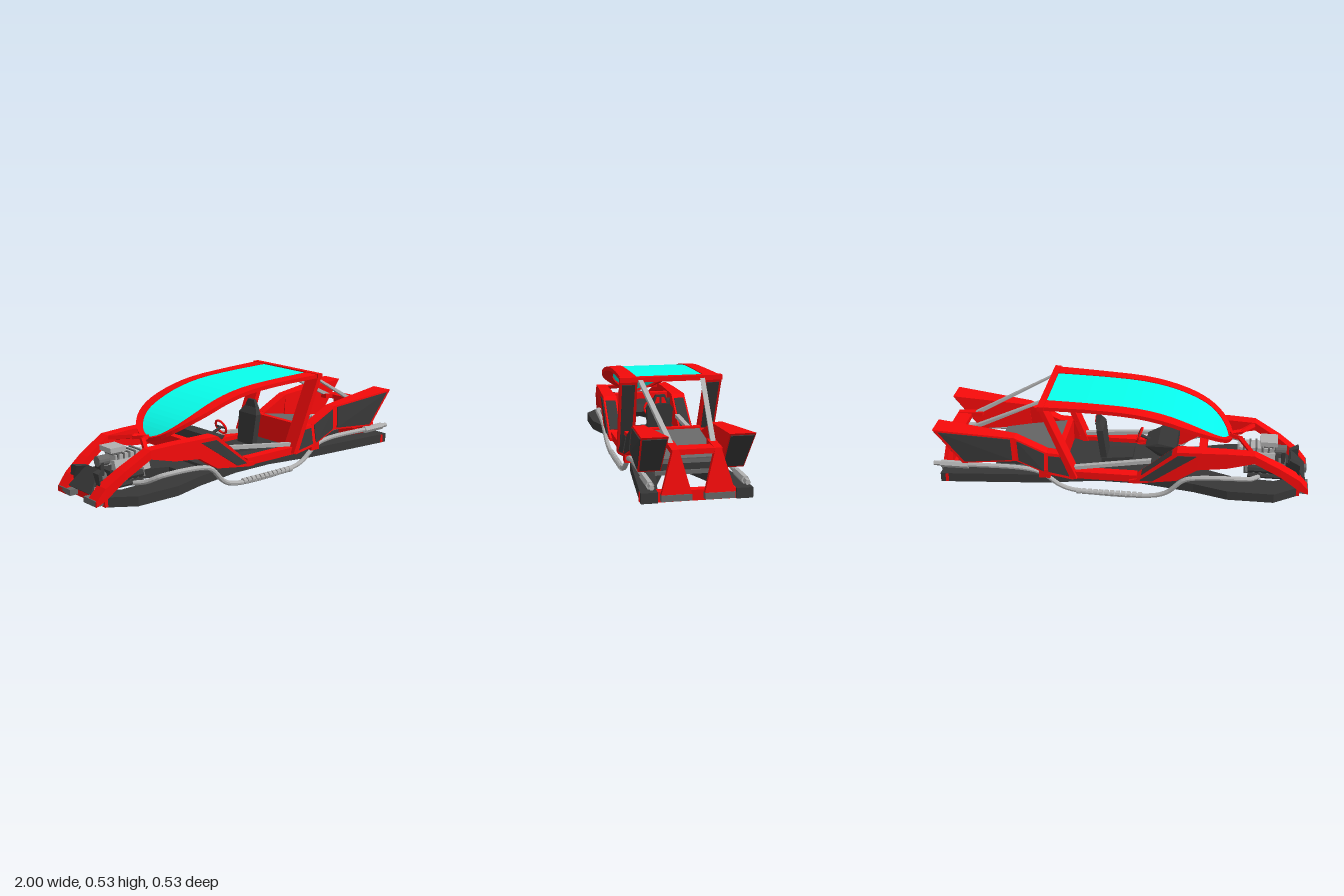
import * as THREE from 'three';
import { ConvexGeometry } from 'three/addons/geometries/ConvexGeometry.js';

const mat = (color) => new THREE.MeshStandardMaterial({ color, flatShading: true });
const RED = mat(0xf50a0a), DARK = mat(0x383838), STEEL = mat(0xb0b0b0), GREY = mat(0x686868), GLASS = mat(0x08ffec);
const V = (p) => new THREE.Vector3(...p);

export function createModel() {
  const car = new THREE.Group();
  car.name = 'hotRod';
  const add = (name, geo, m) => {
    const mesh = new THREE.Mesh(geo, m);
    mesh.name = name;
    car.add(mesh);
    return mesh;
  };
  const both = (fn) => [1, -1].forEach(fn);
  const hull = (name, pts, m) => add(name, new ConvexGeometry(pts.map(V)), m);
  const box = (name, x0, x1, y0, y1, z0, z1, m) => {
    const g = new THREE.BoxGeometry(x1 - x0, y1 - y0, Math.abs(z1 - z0));
    return add(name, g.translate((x0 + x1) / 2, (y0 + y1) / 2, (z0 + z1) / 2), m);
  };
  // straight round bar between two points
  const rod = (name, a, b, r, m, sides = 6) => {
    const p = V(a), q = V(b), d = q.clone().sub(p);
    const mesh = add(name, new THREE.CylinderGeometry(r, r, d.length(), sides), m);
    mesh.position.copy(p).add(q).multiplyScalar(0.5);
    mesh.quaternion.setFromUnitVectors(new THREE.Vector3(0, 1, 0), d.normalize());
    return mesh;
  };
  // thin plate inset in a face given by its corners
  const inset = (name, corners, k, m, t = 0.004) => {
    const p = corners.map(V), c = new THREE.Vector3();
    p.forEach((v) => c.addScaledVector(v, 1 / p.length));
    const n = p[1].clone().sub(p[0]).cross(p[2].clone().sub(p[0])).setLength(t);
    const pts = p.flatMap((v) => {
      const w = v.clone().sub(c).multiplyScalar(k).add(c);
      return [w.clone().add(n), w.clone().sub(n)];
    });
    return add(name, new ConvexGeometry(pts), m);
  };
  // skin through four-cornered sections: top inner, top outer, bottom outer, bottom inner
  const loft = (name, sections, s, m) => {
    const rings = sections.map((r) => (s > 0 ? r : r.map(([x, y, z]) => [x, y, -z]).reverse()));
    const pos = [], tri = (...p) => p.forEach((v) => pos.push(...v));
    for (let i = 0; i < rings.length - 1; i++) {
      for (let j = 0; j < 4; j++) {
        const k = (j + 1) % 4, a = rings[i], b = rings[i + 1];
        tri(a[j], a[k], b[j]);
        tri(a[k], b[k], b[j]);
      }
    }
    const f = rings[0], l = rings[rings.length - 1];
    tri(f[0], f[2], f[1]); tri(f[0], f[3], f[2]);
    tri(l[0], l[1], l[2]); tri(l[0], l[2], l[3]);
    const g = new THREE.BufferGeometry();
    g.setAttribute('position', new THREE.Float32BufferAttribute(pos, 3));
    g.computeVertexNormals();
    return add(name, g, m);
  };

  // X-shaped chassis: forked at nose and tail, narrow at the waist
  const half = [[-0.95, 0.05], [-0.95, 0.17], [-0.82, 0.258], [-0.58, 0.258], [-0.4, 0.205], [-0.12, 0.155],
    [0.12, 0.155], [0.4, 0.21], [0.65, 0.235], [0.93, 0.262], [0.93, 0.18], [0.7, 0.14], [0.42, 0.04]];
  const front = [[-0.42, 0.03], [-0.62, 0.11], [-0.82, 0.12]];
  const outline = [...front, ...half];
  const plan = [...outline, ...outline.map(([x, z]) => [x, -z]).reverse()];
  const pan = new THREE.ExtrudeGeometry(new THREE.Shape(plan.map((p) => new THREE.Vector2(...p))), { depth: 0.05, bevelEnabled: false });
  add('chassis', pan.rotateX(Math.PI / 2).translate(0, 0.1, 0), DARK);
  box('rearCrossbar', 0.9, 0.945, 0.05, 0.1, -0.183, 0.183, RED);
  box('frontCrossbar', -0.955, -0.92, 0.052, 0.1, -0.168, 0.168, RED);
  box('cabinFloor', -0.3, 0.4, 0.1, 0.115, -0.18, 0.18, DARK);

  both((s) => {
    box('chassisEnd', 0.93, 0.955, 0.05, 0.1, s * 0.183, s * 0.262, DARK);
    box('rearFoot', 0.94, 0.975, 0.06, 0.09, s * 0.03, s * 0.172, GREY);
    box('noseFoot', -1, -0.95, 0.06, 0.09, s * 0.06, s * 0.165, GREY);
    box('frontOutrigger', -0.955, -0.91, 0.052, 0.098, s * 0.15, s * 0.178, RED);
    box('rearOutrigger', 0.912, 0.928, 0.052, 0.098, s * 0.2, s * 0.264, RED);

    // fender: x, top, bottom, inner z, outer z
    const fender = [[-1, 0.085, 0.06, 0.1, 0.172], [-0.95, 0.145, 0.085, 0.105, 0.18], [-0.85, 0.215, 0.17, 0.13, 0.2],
      [-0.71, 0.295, 0.25, 0.155, 0.215], [-0.57, 0.3, 0.215, 0.16, 0.222], [-0.42, 0.3, 0.2, 0.16, 0.23],
      [-0.31, 0.3, 0.13, 0.16, 0.235], [-0.1, 0.125, 0.1, 0.16, 0.238], [-0.06, 0.115, 0.1, 0.16, 0.238]];
    loft('fender', fender.map(([x, t, b, i, o]) => [[x, t, i], [x, t, o], [x, b, o], [x, b, i]]), s, RED);
    inset('fenderPanel', [[-0.42, 0.285, s * 0.231], [-0.32, 0.285, s * 0.235], [-0.11, 0.118, s * 0.24], [-0.18, 0.118, s * 0.24]], 0.95, DARK);
    inset('fenderSlopePanel', [[-0.31, 0.3, s * 0.16], [-0.1, 0.125, s * 0.16], [-0.1, 0.125, s * 0.238], [-0.31, 0.3, s * 0.235]], 0.75, DARK, 0.003);
    loft('noseStrut', [[-0.95, 0.12], [-0.9, 0.07]].map(([x, z]) => [[x, 0.2, z * 0.6], [x, 0.2, z], [x, 0.1, z + 0.02], [x, 0.1, z]]), s, DARK);
    rod('hoodBrace', [-0.58, 0.3, s * 0.01], [-0.64, 0.3, s * 0.04], 0.014, RED, 4);
    rod('hoodBrace', [-0.63, 0.3, s * 0.035], [-0.7, 0.28, s * 0.16], 0.014, RED, 4);
    box('doorSill', -0.1, 0.27, 0.1, 0.14, s * 0.17, s * 0.225, RED);
    // flat diagonal door bar
    hull('doorBar', [[-0.17, 0.21], [-0.17, 0.19], [0.28, 0.155], [0.28, 0.135]]
      .flatMap(([x, y], i) => [[x, y, s * (i < 2 ? 0.15 : 0.185)], [x, y, s * (i < 2 ? 0.175 : 0.21)]]), STEEL);

    // roof pillar with dark rear panel
    const pillar = (zLow, zTop) => [[0.215, 0.11, zLow], [0.25, 0.11, zLow], [0.41, 0.525, zTop], [0.385, 0.525, zTop]].map(([x, y, z]) => [x, y, s * z]);
    hull('roofPillar', [...pillar(0.16, 0.172), ...pillar(0.248, 0.26)], RED);
    inset('pillarPanel', [[0.27, 0.16, s * 0.18], [0.27, 0.16, s * 0.24], [0.398, 0.495, s * 0.248], [0.398, 0.495, s * 0.182]], 0.98, DARK);

    // rear wing: short front box and long flared box, each with a dark side panel
    const side = (pts, m) => pts.map(([x, y, z]) => [x, y, s * z * m]);
    const stub = [[0.28, 0.235, 0.22], [0.385, 0.24, 0.22], [0.385, 0.125, 0.24], [0.235, 0.102, 0.245]];
    hull('wingStub', [...side(stub, 1), ...side(stub, 0.74)], RED);
    inset('wingStubPanel', side(stub, 1.003), 0.75, DARK);
    const fore = [[0.38, 0.24, 0.22], [0.55, 0.32, 0.225], [0.54, 0.188, 0.235], [0.38, 0.125, 0.24]];
    const aft = [[0.55, 0.32, 0.225], [0.978, 0.36, 0.264], [0.83, 0.165, 0.252], [0.54, 0.188, 0.235]];
    const inner = [[0.55, 0.32, 0.167], [0.978, 0.36, 0.14], [0.83, 0.165, 0.145], [0.54, 0.188, 0.165]];
    hull('wingFore', [...side(fore, 1), ...side(fore, 0.74)], RED);
    hull('wingAft', [...side(aft, 1), ...side(inner, 1)], RED);
    inset('wingForePanel', side(fore, 1.004), 0.84, DARK);
    inset('wingAftPanel', side(aft, 1.004), 0.88, DARK);
    inset('wingTailPanel', side([aft[1], aft[2], inner[2], inner[1]], 1), 0.9, DARK);
    box('wingFoot', 0.36, 0.42, 0.1, 0.15, s * 0.165, s * 0.24, RED);

    // tapered tail post and roof strut
    hull('tailPost', [[0.95, 0.09, 0.03], [0.95, 0.09, 0.172], [0.97, 0.09, 0.03], [0.97, 0.09, 0.172], [0.92, 0.09, 0.05],
      [0.92, 0.09, 0.15], [0.91, 0.29, 0.085], [0.91, 0.29, 0.112], [0.94, 0.29, 0.085], [0.94, 0.29, 0.112]].map(([x, y, z]) => [x, y, s * z]), RED);
    hull('tailArm', [[0.8, 0.3], [0.94, 0.29], [0.8, 0.275], [0.94, 0.265]].flatMap(([x, y]) => [[x, y, s * 0.08], [x, y, s * 0.118]]), RED);
    hull('roofStrut', [[0.39, 0.528, 0.16], [0.41, 0.508, 0.16], [0.84, 0.298, 0.1], [0.84, 0.274, 0.1]]
      .flatMap(([x, y, z]) => [[x, y, s * (z - 0.012)], [x, y, s * (z + 0.012)]]), STEEL);

    // side exhaust with ribbed silencer and six-sided tip
    const path = [[-0.75, 0.11, 0.09], [-0.7, 0.12, 0.15], [-0.64, 0.155, 0.215], [-0.42, 0.155, 0.235], [-0.35, 0.135, 0.232],
      [-0.26, 0.05, 0.225], [-0.18, 0.022, 0.222], [0.2, 0.022, 0.222], [0.3, 0.045, 0.222], [0.41, 0.12, 0.222], [0.5, 0.14, 0.222], [0.87, 0.138, 0.222]];
    const curve = new THREE.CatmullRomCurve3(path.map(([x, y, z]) => new THREE.Vector3(x, y, s * z)), false, 'centripetal');
    add('exhaustPipe', new THREE.TubeGeometry(curve, 70, 0.013, 8), STEEL);
    for (let i = 0; i < 12; i++) rod('exhaustRib', [-0.13 + i * 0.03, 0.021, s * 0.222], [-0.108 + i * 0.03, 0.021, s * 0.222], 0.016, STEEL, 10);
    rod('exhaustTip', [0.81, 0.137, s * 0.222], [0.96, 0.137, s * 0.222], 0.02, STEEL);
    rod('exhaustEnd', [0.95, 0.137, s * 0.222], [1, 0.137, s * 0.222], 0.013, STEEL);
  });
  box('tailCrossbar', 0.86, 0.94, 0.265, 0.29, -0.112, 0.112, RED);

  // canopy: flat-across glass arched along x, framed by rails that meet at the front
  const inEdge = [[-0.57, 0.295, 0.004], [-0.552, 0.316, 0.065], [-0.51, 0.355, 0.122], [-0.45, 0.396, 0.156], [-0.37, 0.435, 0.168],
    [-0.25, 0.478, 0.17], [-0.1, 0.508, 0.17], [0.12, 0.522, 0.17], [0.4, 0.528, 0.17]];
  const outEdge = [[-0.595, 0.295, 0.012], [-0.575, 0.315, 0.085], [-0.535, 0.35, 0.15], [-0.47, 0.391, 0.2], [-0.38, 0.431, 0.23],
    [-0.25, 0.475, 0.237], [-0.1, 0.505, 0.238], [0.12, 0.52, 0.24], [0.4, 0.527, 0.254]];
  const sample = (e) => new THREE.CatmullRomCurve3(e.map(V)).getPoints(20).map((p) => p.toArray());
  const inn = sample(inEdge), out = sample(outEdge);
  const down = ([x, y, z], d) => [x + d * 0.3, y - d, z];
  both((s) => loft('canopyRail', inn.map((p, i) => [p, out[i], down(out[i], 0.02), down(p, 0.02)]), s, RED));
  loft('canopyGlass', inn.map(([x, y, z]) => [[x, y - 0.004, -z], [x, y - 0.004, z], [x, y - 0.01, z], [x, y - 0.01, -z]]), 1, GLASS);
  box('roofRearBar', 0.378, 0.412, 0.505, 0.53, -0.26, 0.26, RED);

  // bulkhead and stepped rear deck
  box('bulkhead', 0.3, 0.33, 0.1, 0.25, -0.17, 0.17, RED);
  inset('rearDeck', [[0.33, 0.235, -0.165], [0.68, 0.175, -0.165], [0.68, 0.175, 0.165], [0.33, 0.235, 0.165]], 1, GREY, 0.006);
  box('rearDeckStep', 0.5, 0.68, 0.155, 0.175, -0.16, 0.16, GREY);
  box('rearDeckBase', 0.5, 0.67, 0.12, 0.155, -0.15, 0.15, DARK);
  box('rearDeckLip', 0.5, 0.68, 0.1, 0.12, -0.14, 0.14, GREY);

  // cabin: seat, dashboard, steering wheel
  const mirrored = (pts) => pts.flatMap(([x, y, z]) => [[x, y, z], [x, y, -z]]);
  hull('seatCushion', mirrored([[-0.06, 0.16, 0.065], [0.11, 0.14, 0.065], [-0.06, 0.13, 0.065], [0.11, 0.115, 0.065]]), DARK);
  hull('seatBack', mirrored([[0.08, 0.14, 0.06], [0.115, 0.14, 0.06], [0.1, 0.31, 0.07], [0.135, 0.31, 0.07], [0.12, 0.345, 0.045], [0.14, 0.345, 0.045]]), DARK);
  hull('headrest', mirrored([[0.12, 0.335, 0.048], [0.145, 0.335, 0.048], [0.125, 0.385, 0.025], [0.14, 0.385, 0.025]]), DARK);
  both((s) => inset('headrestTrim', [[0.145, 0.34, s * 0.004], [0.145, 0.34, s * 0.033], [0.142, 0.375, s * 0.02], [0.142, 0.375, s * 0.004]], 0.9, RED, 0.003));
  hull('dashboard', mirrored([[-0.3, 0.28, 0.15], [-0.2, 0.27, 0.1], [-0.13, 0.24, 0.08], [-0.2, 0.2, 0.1], [-0.3, 0.2, 0.15]]), DARK);
  box('cowl', -0.46, -0.42, 0.21, 0.29, -0.165, 0.165, RED);
  rod('steeringColumn', [-0.2, 0.22, 0], [-0.09, 0.265, 0], 0.008, DARK);
  const wheel = add('steeringWheel', new THREE.TorusGeometry(0.04, 0.006, 6, 16), RED);
  wheel.position.set(-0.09, 0.265, 0);
  wheel.rotation.set(0, Math.PI / 2, 0.4, 'ZYX');
  rod('steeringSpoke', [-0.09, 0.265, -0.04], [-0.09, 0.265, 0.04], 0.006, DARK);

  // front engine
  box('engineBlock', -0.84, -0.66, 0.1, 0.18, -0.055, 0.055, DARK);
  both((s) => {
    hull('cylinderHead', [[0.16, 0.04], [0.225, 0.035], [0.23, 0.062], [0.16, 0.085]].flatMap(([y, z]) => [[-0.82, y, s * z], [-0.62, y, s * z]]), STEEL);
    for (let i = 0; i < 4; i++) rod('exhaustStub', [-0.8 + i * 0.045, 0.17, s * 0.07], [-0.78 + i * 0.035, 0.13, s * 0.1], 0.012, GREY);
    rod('engineManifold', [-0.84, 0.15, s * 0.09], [-0.68, 0.15, s * 0.09], 0.022, DARK, 8);
    rod('lowerPipe', [-0.87, 0.115, s * 0.1], [-0.68, 0.115, s * 0.1], 0.012, DARK);
  });
  box('blower', -0.8, -0.63, 0.2, 0.25, -0.045, 0.045, STEEL);
  box('intake', -0.83, -0.74, 0.265, 0.29, -0.05, 0.05, STEEL);
  box('intakeNeck', -0.81, -0.76, 0.25, 0.265, -0.035, 0.035, GREY);
  for (let i = 0; i < 5; i++) box('blowerFin', -0.79 + i * 0.033, -0.78 + i * 0.033, 0.2, 0.256, -0.05, 0.05, GREY);
  for (const [y, r] of [[0.14, 0.03], [0.225, 0.027]]) rod('pulley', [-0.88, y, 0], [-0.82, y, 0], r, GREY, 14);
  box('driveBelt', -0.875, -0.855, 0.14, 0.225, -0.026, 0.026, DARK);
  inset('noseGrille', [[-0.98, 0.1, -0.1], [-0.98, 0.1, 0.1], [-0.9, 0.2, 0.05], [-0.9, 0.2, -0.05]], 1, DARK, 0.006);
  return car;
}
